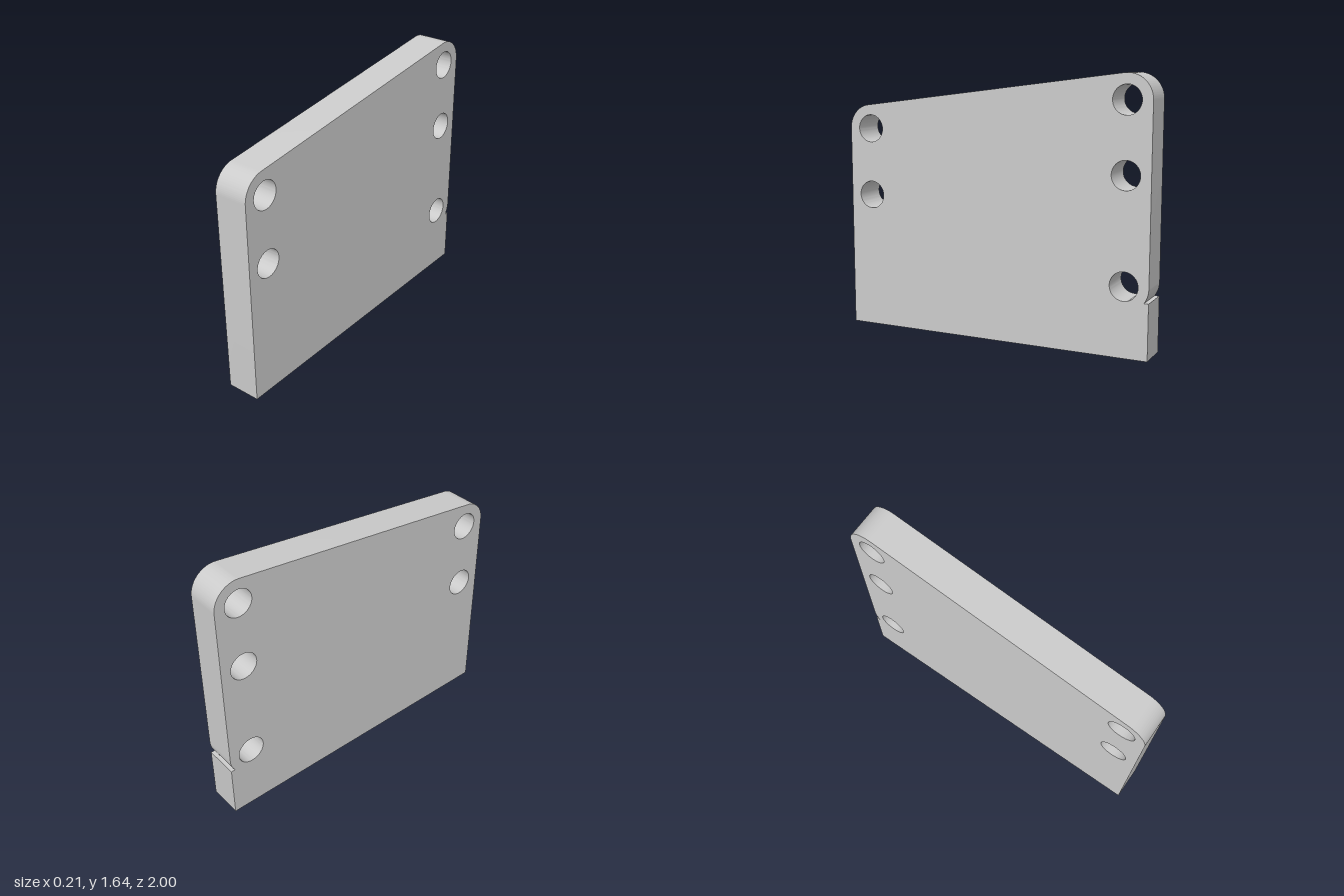
import * as THREE from 'three';
import { toCreasedNormals } from 'three/addons/utils/BufferGeometryUtils.js';

const THICKNESS = 0.212;
const CORNER = 0.15; // corner radius, concentric with the holes
const HOLE = 0.0865;
const EDGE = 0.85; // distance of hole centres from the middle
const FRONT_TOP = 1.278, BACK_TOP = 1.49, BACK_LOW = 0.426, STEP = 0.34;

export function createModel() {
  const group = new THREE.Group();
  group.name = 'mountingPlate';

  // Side profile: horizontal axis runs from front to back
  const tilt = Math.atan2(BACK_TOP - FRONT_TOP, 2 * EDGE);
  const notch = Math.asin((STEP - BACK_LOW) / CORNER);
  const profile = new THREE.Shape();
  profile.moveTo(-1, 0);
  profile.lineTo(1, 0);
  profile.lineTo(1, STEP);
  // Small notch in the back edge, curving around the lowest hole
  profile.absarc(EDGE, BACK_LOW, CORNER, notch, 0, false);
  // Rounded top corners joined by the sloping edge
  profile.absarc(EDGE, BACK_TOP, CORNER, 0, Math.PI / 2 + tilt, false);
  profile.absarc(-EDGE, FRONT_TOP, CORNER, Math.PI / 2 + tilt, Math.PI, false);
  profile.closePath();

  // Through holes: two at the front, three at the back
  const holes = [
    [-EDGE, FRONT_TOP], [-EDGE, 0.853],
    [EDGE, BACK_TOP], [EDGE, 1.065], [EDGE, BACK_LOW],
  ];
  for (const [u, y] of holes) {
    profile.holes.push(new THREE.Path().absarc(u, y, HOLE, 0, Math.PI * 2, true));
  }

  const extruded = new THREE.ExtrudeGeometry(profile, {
    depth: THICKNESS, bevelEnabled: false, curveSegments: 32,
  });
  extruded.translate(0, 0, -THICKNESS / 2);
  extruded.rotateY(Math.PI / 2);

  const plate = new THREE.Mesh(
    toCreasedNormals(extruded, 0.5),
    new THREE.MeshStandardMaterial({ color: 0xcccccc }),
  );
  plate.name = 'plate';
  group.add(plate);
  return group;
}
